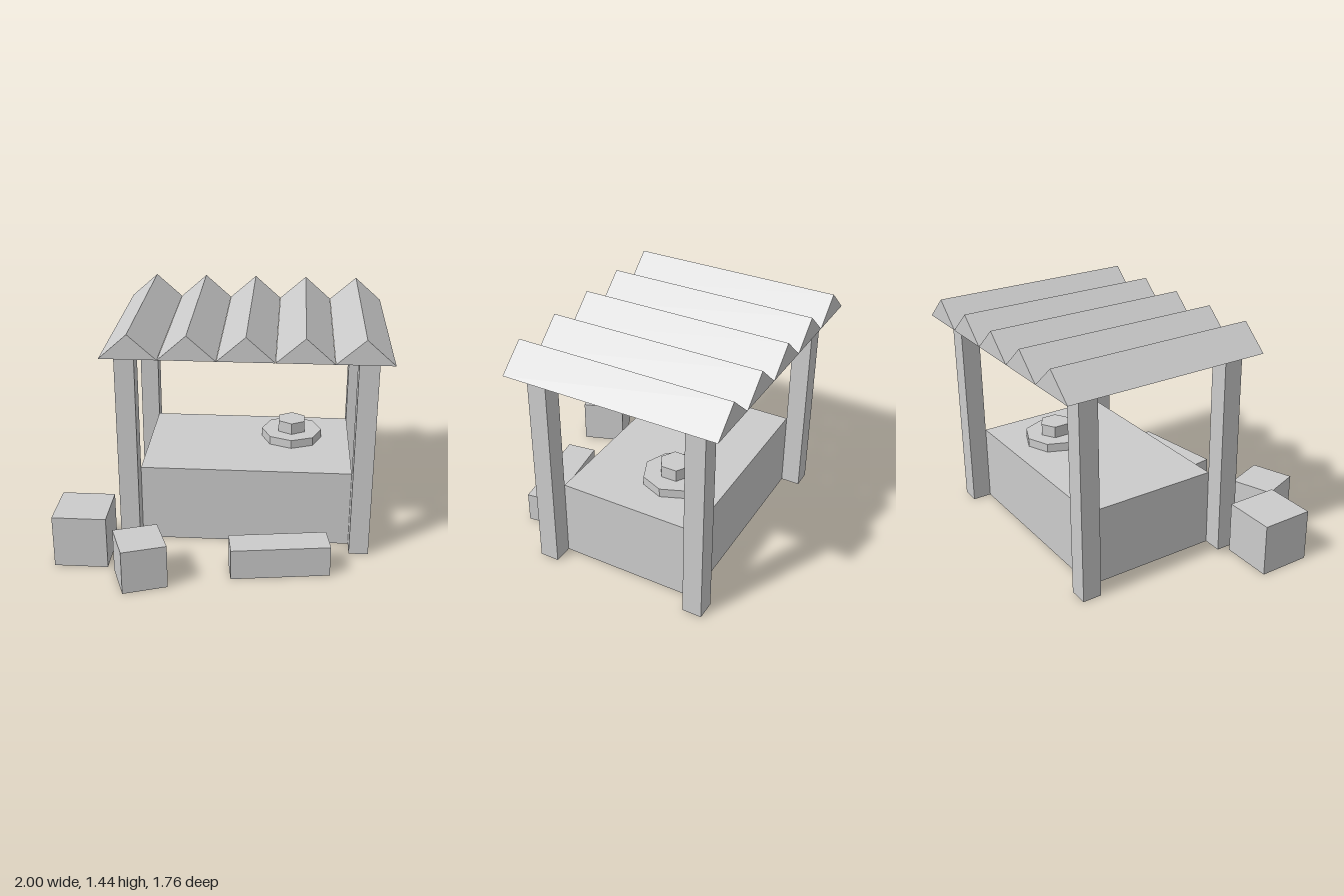
import * as THREE from 'three';

const material = new THREE.MeshStandardMaterial({ color: 0xcccccc, flatShading: true });

export function createModel() {
  const model = new THREE.Group();
  model.name = 'marketStall';

  const add = (name, geometry, x, y, z, turn = 0) => {
    const mesh = new THREE.Mesh(geometry, material);
    mesh.name = name;
    mesh.position.set(x, y, z);
    mesh.rotation.y = turn;
    model.add(mesh);
    return mesh;
  };
  // Box standing on the ground
  const block = (name, w, h, d, x, z, turn) =>
    add(name, new THREE.BoxGeometry(w, h, d), x, h / 2, z, turn);

  // Counter, with a post touching each corner
  const cx = 0.145, cz = -0.2225, width = 1.31, depth = 0.865, post = 0.12;
  block('counter', width, 0.495, depth, cx, cz);
  for (const [sideName, sx] of [['left', 1], ['right', -1]]) {
    for (const [endName, sz] of [['Front', 1], ['Back', -1]]) {
      block(`${sideName}${endName}Post`, post, 1.29, post,
        cx + sx * (width + post) / 2, cz + sz * (depth + post) / 2);
    }
  }

  // Roof: a row of triangular prisms running front to back
  const pitch = 0.34, half = 0.1695, roofDepth = 1.31;
  const gable = new THREE.Shape([
    new THREE.Vector2(-half, 0),
    new THREE.Vector2(half, 0),
    new THREE.Vector2(0, 0.15),
  ]);
  const ridge = new THREE.ExtrudeGeometry(gable, { depth: roofDepth, bevelEnabled: false });
  for (let i = 0; i < 5; i++) {
    add(`roofRidge${i + 1}`, ridge, -0.53 + i * pitch, 1.29, -0.88);
  }

  // Stepped dish on the counter: octagonal base, hexagonal top
  add('dishBase', new THREE.CylinderGeometry(0.1975, 0.1975, 0.055, 8), 0.4225, 0.5225, -0.334);
  add('dishTop', new THREE.CylinderGeometry(0.0985, 0.0985, 0.075, 6), 0.4225, 0.5875, -0.334);

  // Crates on the ground
  block('largeCrate', 0.328, 0.33, 0.328, -0.836, 0.431);
  block('smallCrate', 0.272, 0.276, 0.272, -0.455, 0.704, 0.345);
  block('longCrate', 0.6, 0.193, 0.187, 0.367, 0.541, 0.14);

  return model;
}
